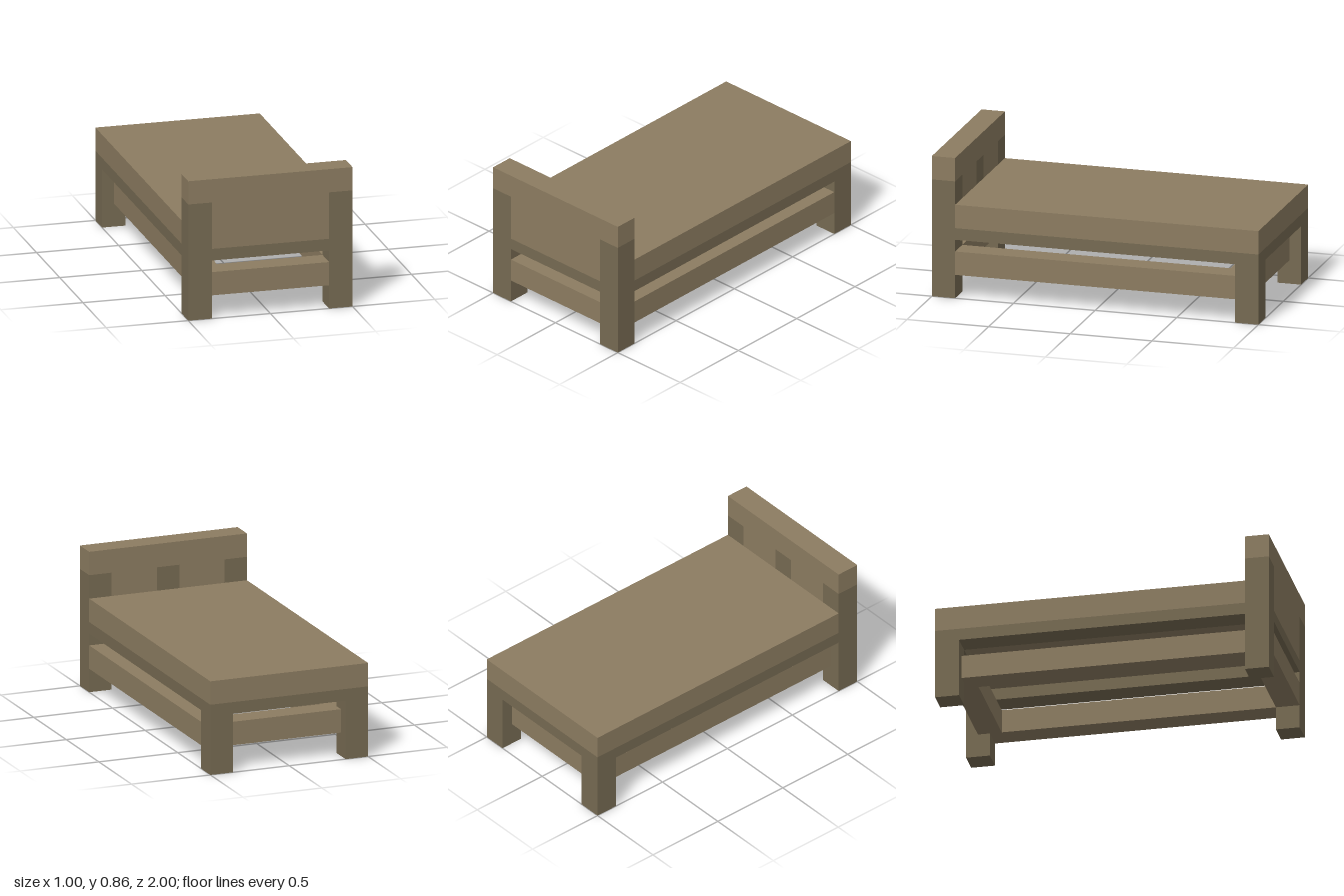
import * as THREE from 'three';

// One design unit; every part sits on this module
const U = 1 / 14;

export function createModel() {
  const bed = new THREE.Group();
  bed.name = 'bed';
  const lightWood = new THREE.MeshStandardMaterial({ color: 0x8c7c61 });
  const darkWood = new THREE.MeshStandardMaterial({ color: 0x766a52 });

  // Box from its two extreme corners, in design units
  const block = (name, material, [x0, x1], [y0, y1], [z0, z1]) => {
    const geometry = new THREE.BoxGeometry((x1 - x0) * U, (y1 - y0) * U, (z1 - z0) * U);
    const mesh = new THREE.Mesh(geometry, material);
    mesh.position.set((x0 + x1) / 2 * U, (y0 + y1) / 2 * U, (z0 + z1) / 2 * U);
    mesh.name = name;
    bed.add(mesh);
  };

  // Mattress
  block('mattress', lightWood, [-7, 7], [6, 8], [-14, 12]);

  // Legs, headboard posts and upper side rails, mirrored in x
  for (const [side, x] of [['left', [5, 7]], ['right', [-7, -5]]]) {
    block(side + 'FootLeg', darkWood, x, [0, 5], [-14, -12]);
    block(side + 'HeadboardPost', darkWood, x, [0, 10], [12, 14]);
    block(side + 'FrameRail', darkWood, x, [5, 6], [-14, 12]);
  }

  // Upper cross rails
  block('footFrameRail', darkWood, [-5, 5], [5, 6], [-14, -12]);
  block('headFrameRail', darkWood, [-5, 5], [5, 6], [12, 14]);

  // Headboard: cap, panel and the centre stile on its inner side
  block('headboardCap', lightWood, [-7, 7], [10, 12], [12, 14]);
  block('headboardPanel', lightWood, [-5, 5], [6, 10], [13, 14]);
  block('leftPanelBacking', lightWood, [1, 5], [6, 10], [12, 13]);
  block('rightPanelBacking', lightWood, [-5, -1], [6, 10], [12, 13]);
  block('headboardStile', darkWood, [-1, 1], [6, 10], [12, 13]);

  // Lower stretchers: left and head ones flush, right and foot ones set in
  block('leftStretcher', lightWood, [5, 7], [2, 4], [-12, 12]);
  block('rightStretcher', lightWood, [-6, -4], [2, 4], [-12, 12]);
  block('headStretcher', lightWood, [-5, 5], [2, 4], [12, 14]);
  block('footStretcher', lightWood, [-5, 5], [2, 4], [-13, -11]);

  return bed;
}
